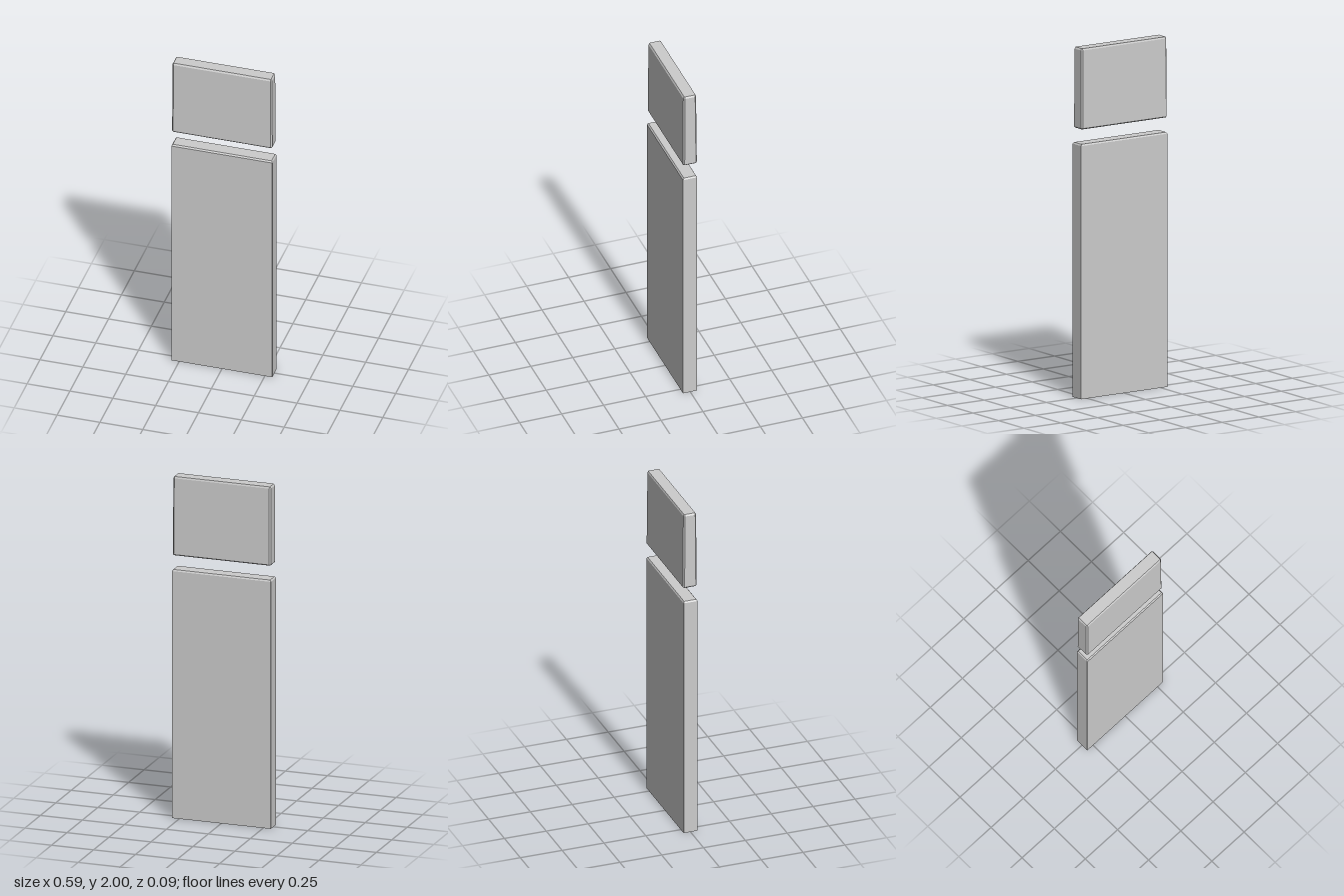
import * as THREE from 'three';

const material = new THREE.MeshStandardMaterial({ color: 0xcccccc, flatShading: true });

// Rectangle outline with cut corners, in the x-z plane.
function outline({ y, x0, x1, z0, z1, cut }) {
  return [
    [x0 + cut, z1], [x1 - cut, z1], [x1, z1 - cut], [x1, z0 + cut],
    [x1 - cut, z0], [x0 + cut, z0], [x0, z0 + cut], [x0, z1 - cut],
  ].map(([x, z]) => new THREE.Vector3(x, y, z));
}

// Solid slab through a stack of outlines, capped at both ends.
function slab(name, sections) {
  const rings = sections.map(outline);
  const n = rings[0].length;
  const points = [];
  for (let r = 0; r < rings.length - 1; r++) {
    const a = rings[r], b = rings[r + 1];
    for (let i = 0; i < n; i++) {
      const j = (i + 1) % n;
      points.push(a[i], a[j], b[j], a[i], b[j], b[i]);
    }
  }
  const bottom = rings[0], top = rings[rings.length - 1];
  for (let i = 1; i < n - 1; i++) {
    points.push(bottom[0], bottom[i + 1], bottom[i], top[0], top[i], top[i + 1]);
  }
  const geometry = new THREE.BufferGeometry().setFromPoints(points);
  geometry.computeVertexNormals();
  const mesh = new THREE.Mesh(geometry, material);
  mesh.name = name;
  return mesh;
}

export function createModel() {
  const group = new THREE.Group();
  group.name = 'splitPanel';

  // Tall lower panel: crisp sides, narrow bevel around the top.
  const lower = { x0: -0.295, x1: 0.293, z0: -0.041, z1: 0.043, cut: 0.001 };
  group.add(slab('lowerPanel', [
    { ...lower, y: 0 },
    { ...lower, y: 1.446 },
    { x0: -0.289, x1: 0.287, z0: -0.036, z1: 0.036, cut: 0.001, y: 1.455 },
  ]));

  // Short upper panel: bevelled all round and very slightly tapered.
  group.add(slab('upperPanel', [
    { x0: -0.29, x1: 0.286, z0: -0.039, z1: 0.036, cut: 0.006, y: 1.54 },
    { x0: -0.294, x1: 0.29, z0: -0.043, z1: 0.04, cut: 0.008, y: 1.545 },
    { x0: -0.293, x1: 0.288, z0: -0.039, z1: 0.037, cut: 0.008, y: 1.99 },
    { x0: -0.287, x1: 0.282, z0: -0.035, z1: 0.031, cut: 0.003, y: 2 },
  ]));

  return group;
}
